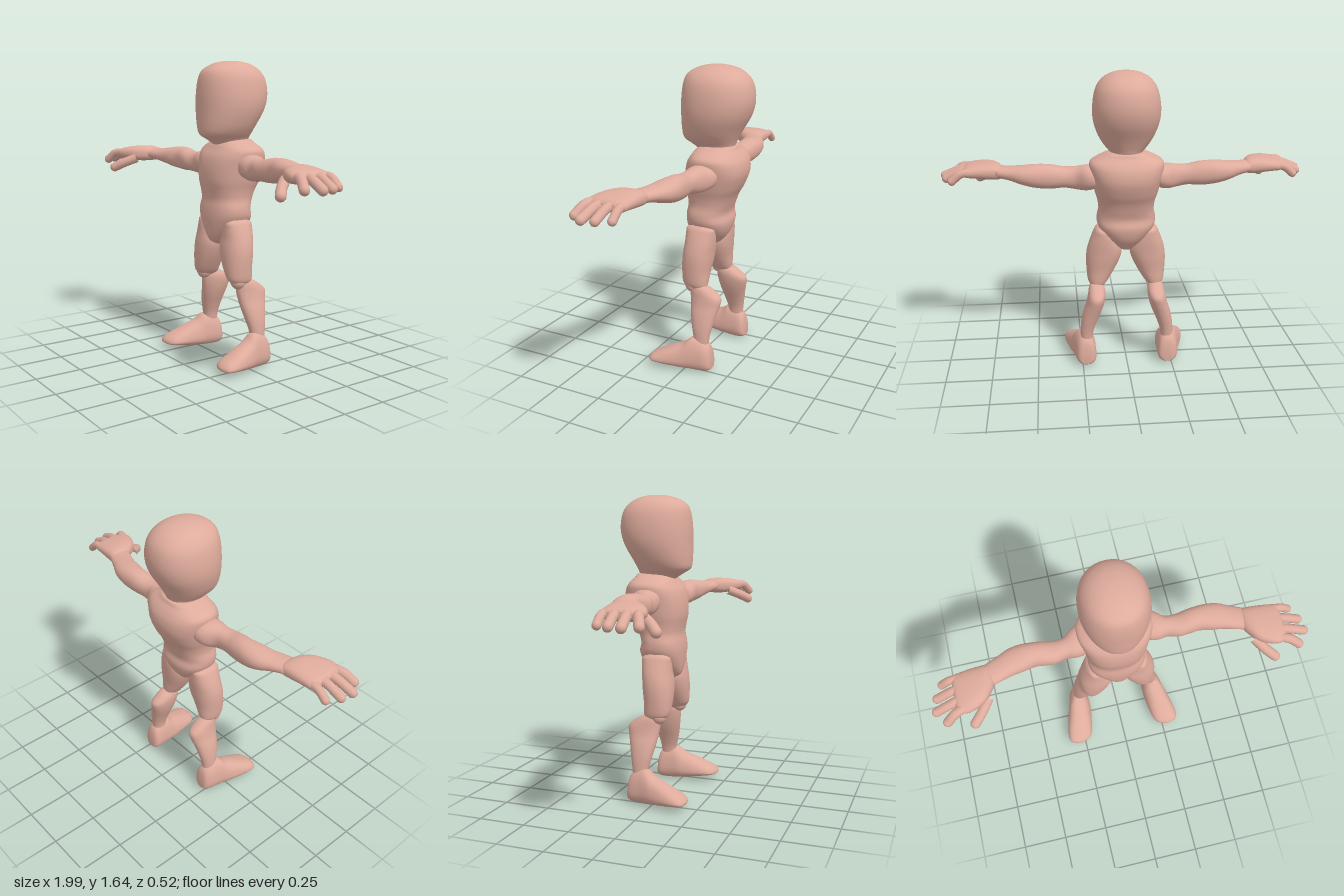
import * as THREE from 'three';

// Axes (u, v, w) for each loft direction w, right-handed
const AXES = { x: [1, 2, 0], y: [2, 0, 1], z: [0, 1, 2] };

// Smooth curve through the rows, channel by channel
function refine(rows, steps) {
  const out = [];
  const at = (i) => rows[Math.min(Math.max(i, 0), rows.length - 1)];
  for (let i = 0; i < rows.length - 1; i++) {
    for (let k = 0; k < steps; k++) {
      const t = k / steps, [a, b, c, d] = [at(i - 1), at(i), at(i + 1), at(i + 2)];
      out.push(b.map((_, n) => {
        const m0 = (c[n] - a[n]) / 2, m1 = (d[n] - b[n]) / 2;
        return b[n] + t * (m0 + t * (3 * (c[n] - b[n]) - 2 * m0 - m1 + t * (2 * (b[n] - c[n]) + m0 + m1)));
      }));
    }
  }
  out.push(rows[rows.length - 1]);
  return out;
}

// Rows: [position along axis, uMin, uMax, vMin, vMax]
function loft(axis, rows, { power = 2.2, taper = 0, sides = 32 } = {}) {
  const [u, v, w] = AXES[axis];
  const rings = refine(rows, 4), pos = [], idx = [];
  const put = (a, b, c) => {
    const p = [0, 0, 0];
    p[u] = a; p[v] = b; p[w] = c;
    pos.push(...p);
  };
  const soft = (n) => Math.sign(n) * Math.pow(Math.abs(n), 2 / power);
  for (const [t, u0, u1, v0, v1] of rings) {
    for (let j = 0; j < sides; j++) {
      const a = (j / sides) * Math.PI * 2, c = soft(Math.cos(a)), s = soft(Math.sin(a));
      put((u0 + u1) / 2 + (u1 - u0) / 2 * c * (1 - taper * s), (v0 + v1) / 2 + (v1 - v0) / 2 * s, t);
    }
  }
  const last = rings.length - 1, start = rings.length * sides;
  for (const r of [rings[0], rings[last]]) put((r[1] + r[2]) / 2, (r[3] + r[4]) / 2, r[0]);
  for (let j = 0; j < sides; j++) {
    const k = (j + 1) % sides;
    for (let i = 0; i < last; i++) {
      const a = i * sides + j, b = i * sides + k;
      idx.push(a, b, a + sides, b, b + sides, a + sides);
    }
    idx.push(start, k, j, start + 1, last * sides + j, last * sides + k);
  }
  const g = new THREE.BufferGeometry();
  g.setAttribute('position', new THREE.Float32BufferAttribute(pos, 3));
  g.setIndex(idx);
  g.computeVertexNormals();
  return g;
}

function mirrored(geo) {
  const g = geo.clone().scale(-1, 1, 1), ix = g.index;
  for (let i = 0; i < ix.count; i += 3) {
    const a = ix.getX(i);
    ix.setX(i, ix.getX(i + 1));
    ix.setX(i + 1, a);
  }
  return g;
}

export function createModel() {
  const model = new THREE.Group();
  model.name = 'figure';
  const skin = new THREE.MeshStandardMaterial({ color: 0xdeab9c });
  skin.name = 'skin';
  const add = (name, geo) => {
    const mesh = new THREE.Mesh(geo, skin);
    mesh.name = name;
    model.add(mesh);
  };
  const pair = (name, geo) => {
    add('left' + name, geo);
    add('right' + name, mirrored(geo));
  };
  const centred = (rows) => rows.map(([y, back, front, half]) => [y, back, front, -half, half]);

  // Head with neck: height, back, front, half width
  add('head', loft('y', centred([
    [1.16, -0.15, 0.02, 0.075], [1.195, -0.155, 0.04, 0.08], [1.225, -0.165, 0.085, 0.095],
    [1.25, -0.175, 0.12, 0.118], [1.3, -0.2, 0.127, 0.148], [1.38, -0.245, 0.127, 0.174],
    [1.46, -0.265, 0.126, 0.178], [1.54, -0.255, 0.117, 0.164], [1.59, -0.222, 0.095, 0.135],
    [1.622, -0.17, 0.04, 0.09], [1.636, -0.11, -0.02, 0.04], [1.638, -0.071, -0.069, 0.001],
  ]), { sides: 40, power: 2.15 }));

  // Torso from crotch to collar
  add('torso', loft('y', centred([
    [0.65, -0.03, 0.03, 0.012], [0.665, -0.07, 0.06, 0.035], [0.69, -0.1, 0.077, 0.062],
    [0.74, -0.135, 0.086, 0.11], [0.8, -0.15, 0.09, 0.152], [0.85, -0.14, 0.087, 0.159],
    [0.9, -0.155, 0.08, 0.15], [0.95, -0.175, 0.087, 0.156], [1.0, -0.203, 0.096, 0.17],
    [1.07, -0.228, 0.094, 0.185], [1.13, -0.225, 0.08, 0.197], [1.17, -0.205, 0.055, 0.192],
    [1.2, -0.18, 0.035, 0.14], [1.22, -0.165, 0.01, 0.09], [1.225, -0.1, -0.05, 0.03],
  ]), { sides: 40, power: 2.4 }));

  // Arm: x, bottom, top, back, front
  pair('Arm', loft('x', [
    [0.15, 1.04, 1.12, -0.13, -0.01], [0.175, 1.02, 1.143, -0.148, 0.015], [0.22, 1.01, 1.145, -0.135, 0.02],
    [0.27, 1.012, 1.135, -0.095, 0.012], [0.33, 1.02, 1.132, -0.092, 0.028], [0.39, 1.018, 1.145, -0.1, 0.025],
    [0.44, 1.02, 1.15, -0.104, 0.022], [0.5, 1.028, 1.148, -0.106, 0.036], [0.56, 1.043, 1.14, -0.095, 0.047],
    [0.62, 1.06, 1.133, -0.066, 0.066], [0.69, 1.07, 1.13, -0.035, 0.088],
  ], { sides: 28 }));

  // Palm
  pair('Palm', loft('x', [
    [0.66, 1.07, 1.125, -0.03, 0.08], [0.675, 1.06, 1.137, -0.035, 0.105], [0.71, 1.055, 1.145, -0.034, 0.15],
    [0.76, 1.058, 1.143, -0.031, 0.18], [0.81, 1.062, 1.136, -0.026, 0.195], [0.85, 1.066, 1.126, -0.02, 0.187],
    [0.867, 1.08, 1.11, 0, 0.165],
  ], { sides: 28, power: 2.5 }));

  // Fingers and thumb: a bent tube with a rounded tip
  const digit = (name, r, ...pts) => {
    const path = new THREE.CatmullRomCurve3(pts.map((p) => new THREE.Vector3(...p)));
    pair(name, new THREE.TubeGeometry(path, 12, r, 12));
    pair(name + 'Tip', new THREE.SphereGeometry(r, 12, 10).translate(...pts[pts.length - 1]));
  };
  const fingers = [
    ['LittleFinger', 0.022, 0.925, 0.002, 0.003], ['RingFinger', 0.024, 0.96, 0.053, 0.072],
    ['MiddleFinger', 0.025, 0.972, 0.106, 0.14], ['IndexFinger', 0.025, 0.925, 0.158, 0.205],
  ];
  for (const [name, r, tip, z0, z1] of fingers) {
    digit(name, r, [0.81, 1.1, z0], [0.875, 1.094, z0 + (z1 - z0) * 0.5], [tip, 1.055, z1]);
  }
  digit('Thumb', 0.027, [0.7, 1.075, 0.13], [0.75, 1.045, 0.19], [0.795, 1.017, 0.232]);

  // Thigh: y, back, front, inner, outer
  pair('Thigh', loft('y', [
    [0.43, -0.045, 0.02, 0.14, 0.185], [0.455, -0.075, 0.04, 0.118, 0.2], [0.48, -0.082, 0.06, 0.098, 0.212],
    [0.54, -0.086, 0.068, 0.062, 0.218], [0.6, -0.095, 0.07, 0.034, 0.22], [0.65, -0.1, 0.067, 0.022, 0.216],
    [0.7, -0.105, 0.06, 0.035, 0.203], [0.75, -0.106, 0.056, 0.06, 0.184], [0.78, -0.1, 0.05, 0.09, 0.17],
    [0.795, -0.06, 0.02, 0.12, 0.155],
  ]));
  pair('Knee', new THREE.SphereGeometry(0.042, 20, 14).translate(0.163, 0.462, 0.002));

  // Lower leg
  pair('Shin', loft('y', [
    [0.13, -0.12, -0.04, 0.195, 0.26], [0.19, -0.126, -0.035, 0.188, 0.26], [0.25, -0.137, -0.02, 0.168, 0.255],
    [0.31, -0.15, -0.006, 0.143, 0.242], [0.36, -0.163, 0.003, 0.127, 0.225], [0.405, -0.167, 0.01, 0.119, 0.215],
    [0.44, -0.128, 0.01, 0.121, 0.208], [0.463, -0.09, -0.003, 0.135, 0.198], [0.472, -0.065, -0.025, 0.155, 0.182],
  ]));

  // Foot: z, inner, outer, bottom, top
  pair('Foot', loft('z', [
    [-0.147, 0.205, 0.255, 0.015, 0.07], [-0.138, 0.185, 0.272, 0.008, 0.13], [-0.115, 0.176, 0.284, 0.002, 0.165],
    [-0.07, 0.176, 0.294, 0, 0.187], [-0.03, 0.176, 0.305, 0.002, 0.185], [0.01, 0.178, 0.317, 0.006, 0.152],
    [0.07, 0.186, 0.332, 0.013, 0.126], [0.13, 0.197, 0.343, 0.022, 0.098], [0.17, 0.211, 0.342, 0.028, 0.079],
    [0.192, 0.236, 0.327, 0.032, 0.063], [0.202, 0.27, 0.295, 0.04, 0.05],
  ], { power: 2.5, taper: 0.2 }));

  return model;
}
